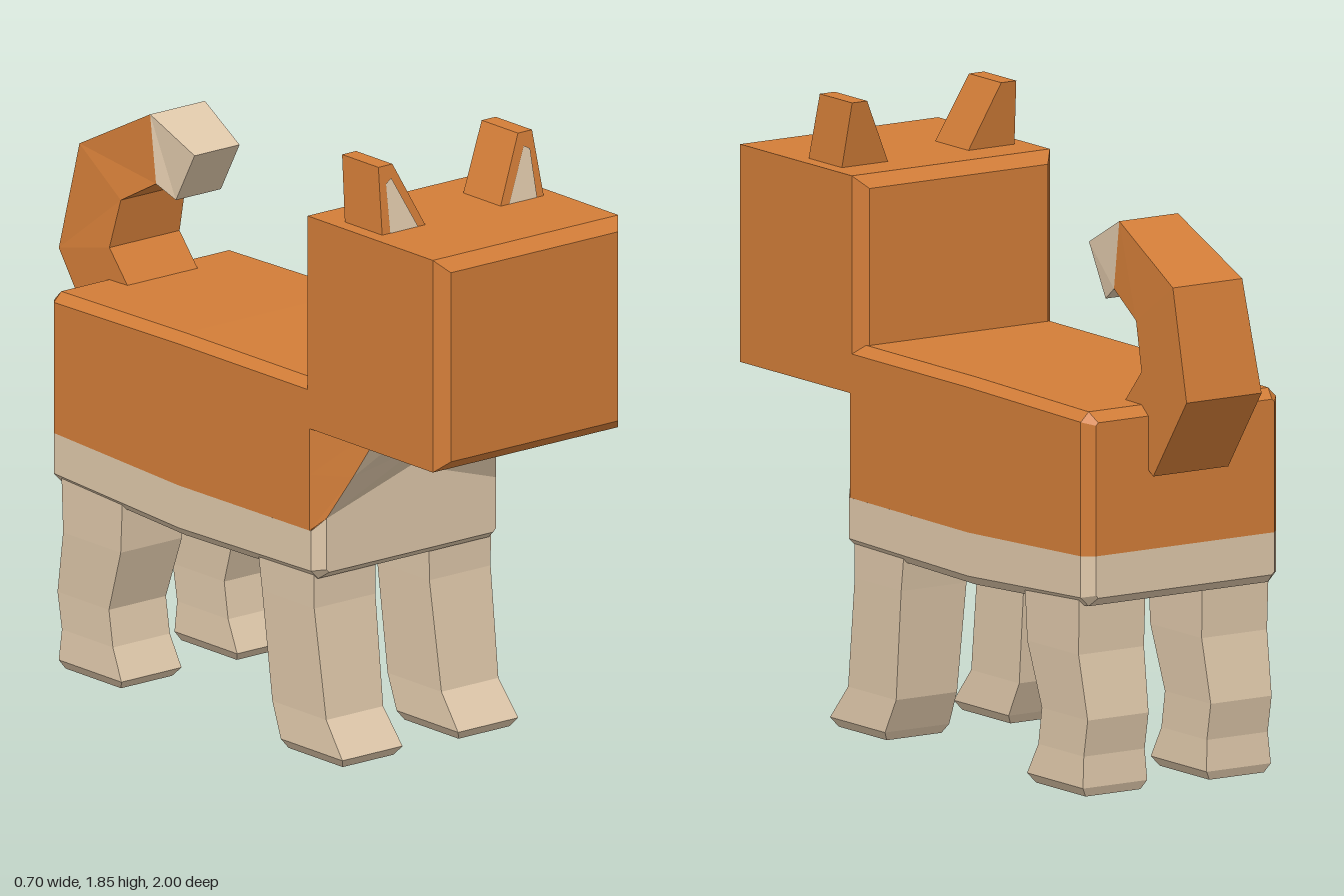
import * as THREE from 'three';

const orange = new THREE.MeshStandardMaterial({ color: 0xd27d38 });
orange.name = 'orange fur';
const cream = new THREE.MeshStandardMaterial({ color: 0xdfc8aa });
cream.name = 'cream fur';

// Flat-shaded mesh from polygons given as loops of [x, y, z] corners
function polyMesh(name, polys, material, fixOrder = false) {
  const pos = [];
  let volume = 0;
  for (const p of polys) {
    for (let i = 1; i < p.length - 1; i++) {
      const [a, b, c] = [p[0], p[i], p[i + 1]].map(v => new THREE.Vector3(...v));
      volume += a.dot(b.clone().cross(c));
      pos.push(...p[0], ...p[i], ...p[i + 1]);
    }
  }
  // Closed solids are turned the right way out
  if (fixOrder && volume < 0) return polyMesh(name, polys.map(p => [...p].reverse()), material);
  const geo = new THREE.BufferGeometry();
  geo.setAttribute('position', new THREE.Float32BufferAttribute(pos, 3));
  geo.computeVertexNormals();
  const mesh = new THREE.Mesh(geo, material);
  mesh.name = name;
  return mesh;
}

// Closed solid through a row of matching cross-sections
function loft(name, sections, material) {
  const polys = [[...sections[0]].reverse(), sections[sections.length - 1]];
  for (let s = 0; s < sections.length - 1; s++) {
    const a = sections[s], b = sections[s + 1], n = a.length;
    for (let i = 0; i < n; i++) {
      const j = (i + 1) % n;
      polys.push([a[i], a[j], b[j], b[i]]);
    }
  }
  return polyMesh(name, polys, material, true);
}

const mirrorPoly = p => p.map(([x, y, z]) => [-x, y, z]).reverse();

export function createModel() {
  const model = new THREE.Group();
  model.name = 'dog';

  // Head: a block with chamfered front and back
  const headSection = (z, d) => [
    [0.35 - d, 1.01 + d, z], [0.35 - d, 1.655 - d, z],
    [-0.35 + d, 1.655 - d, z], [-0.35 + d, 1.01 + d, z]];
  model.add(loft('head', [
    headSection(0.35, 0.035), headSection(0.39, 0), headSection(0.96, 0), headSection(1, 0.035)], orange));

  // Upper body: z, half width, top, colour line, chamfer
  model.add(loft('upperBody', [
    [0.4, 0.35, 1.155, 0.7, 0.028], [-0.2, 0.348, 1.153, 0.695, 0.028],
    [-0.77, 0.345, 1.143, 0.718, 0.028], [-0.805, 0.315, 1.115, 0.72, 0.008],
  ].map(([z, w, top, line, c]) => [
    [w, line, z], [w, top - c, z], [w - c, top, z],
    [c - w, top, z], [-w, top - c, z], [-w, line, z]]), orange));

  // Belly: z, half width, bottom, colour line, middle of colour line, chamfer
  model.add(loft('belly', [
    [0.44, 0.32, 0.575, 0.74, 0.84, 0.01], [0.405, 0.35, 0.55, 0.7, 0.7, 0.028],
    [-0.2, 0.348, 0.538, 0.695, 0.695, 0.028],
    [-0.77, 0.345, 0.567, 0.718, 0.718, 0.028], [-0.805, 0.315, 0.595, 0.72, 0.72, 0.008],
  ].map(([z, w, bottom, line, mid, c]) => [
    [w, line, z], [w, bottom + c, z], [w - c, bottom, z],
    [c - w, bottom, z], [-w, bottom + c, z], [-w, line, z], [0, mid, z]]), cream));

  // Neck: orange sides around a sloping cream chest
  const outer = [[0.35, 0.7, 0.4], [0.35, 0.87, 0.4], [0.35, 1.05, 0.4]];
  const edge = [[0.32, 0.74, 0.44], [0.27, 0.87, 0.5], [0.205, 1.05, 0.578]];
  const middle = [[0, 0.84, 0.44], [0, 0.91, 0.485], [0, 1.05, 0.57]];
  const band = (a, b) => {
    const polys = [0, 1].map(i => [a[i], b[i], b[i + 1], a[i + 1]]);
    return [...polys, ...polys.map(mirrorPoly)];
  };
  model.add(polyMesh('neckSides', band(edge, outer), orange));
  model.add(polyMesh('chest', band(middle, edge), cream));

  // Legs: y, front z, back z, inner x, outer x
  const frontLeg = [
    [0.62, 0.4, 0.14, 0.1, 0.335], [0.46, 0.4, 0.163, 0.102, 0.333], [0.13, 0.445, 0.2, 0.11, 0.325],
    [0.027, 0.527, 0.247, 0.105, 0.332], [0, 0.508, 0.262, 0.122, 0.315]];
  const backLeg = [
    [0.62, -0.468, -0.748, 0.1, 0.335], [0.42, -0.48, -0.742, 0.102, 0.333],
    [0.23, -0.543, -0.777, 0.11, 0.325], [0.12, -0.525, -0.757, 0.11, 0.325],
    [0.027, -0.478, -0.763, 0.105, 0.332], [0, -0.5, -0.752, 0.122, 0.315]];

  for (const [side, s] of [['left', 1], ['right', -1]]) {
    for (const [name, rows] of [['FrontLeg', frontLeg], ['BackLeg', backLeg]]) {
      model.add(loft(side + name, rows.map(([y, f, b, i, o]) => [
        [s * i, y, f], [s * o, y, f], [s * o, y, b], [s * i, y, b]]), cream));
    }

    // Ear leaning back, with a thin cream inside
    const earSection = (y, f, b, i, o) => [
      [s * i, y, f], [s * o, y, f], [s * o, y, b], [s * i, y, b]];
    model.add(loft(side + 'Ear', [
      earSection(1.64, 0.678, 0.508, 0.135, 0.306), earSection(1.85, 0.64, 0.475, 0.237, 0.29)], orange));
    const inner = [[0.172, 1.656], [0.277, 1.656], [0.272, 1.8], [0.25, 1.812]]
      .map(([x, y]) => [x, y, 0.679 - 0.181 * (y - 1.655)]);
    model.add(polyMesh(side + 'InnerEar', [s > 0 ? inner : mirrorPoly(inner)], cream));
  }

  // Curled tail: outer z, y, inner z, y, right x, left x
  const tail = [
    [-0.83, 0.94, -0.62, 1.065, -0.135, 0.13], [-1, 1.185, -0.77, 1.24, -0.135, 0.13],
    [-0.93, 1.515, -0.742, 1.387, -0.115, 0.13], [-0.645, 1.665, -0.618, 1.46, -0.085, 0.122],
    [-0.473, 1.575, -0.558, 1.42, -0.06, 0.11],
  ].map(([oz, oy, iz, iy, r, l]) => [[r, oy, oz], [l, oy, oz], [l, iy, iz], [r, iy, iz]]);
  model.add(loft('tail', tail.slice(0, 4), orange));
  model.add(loft('tailTip', tail.slice(3), cream));

  return model;
}
